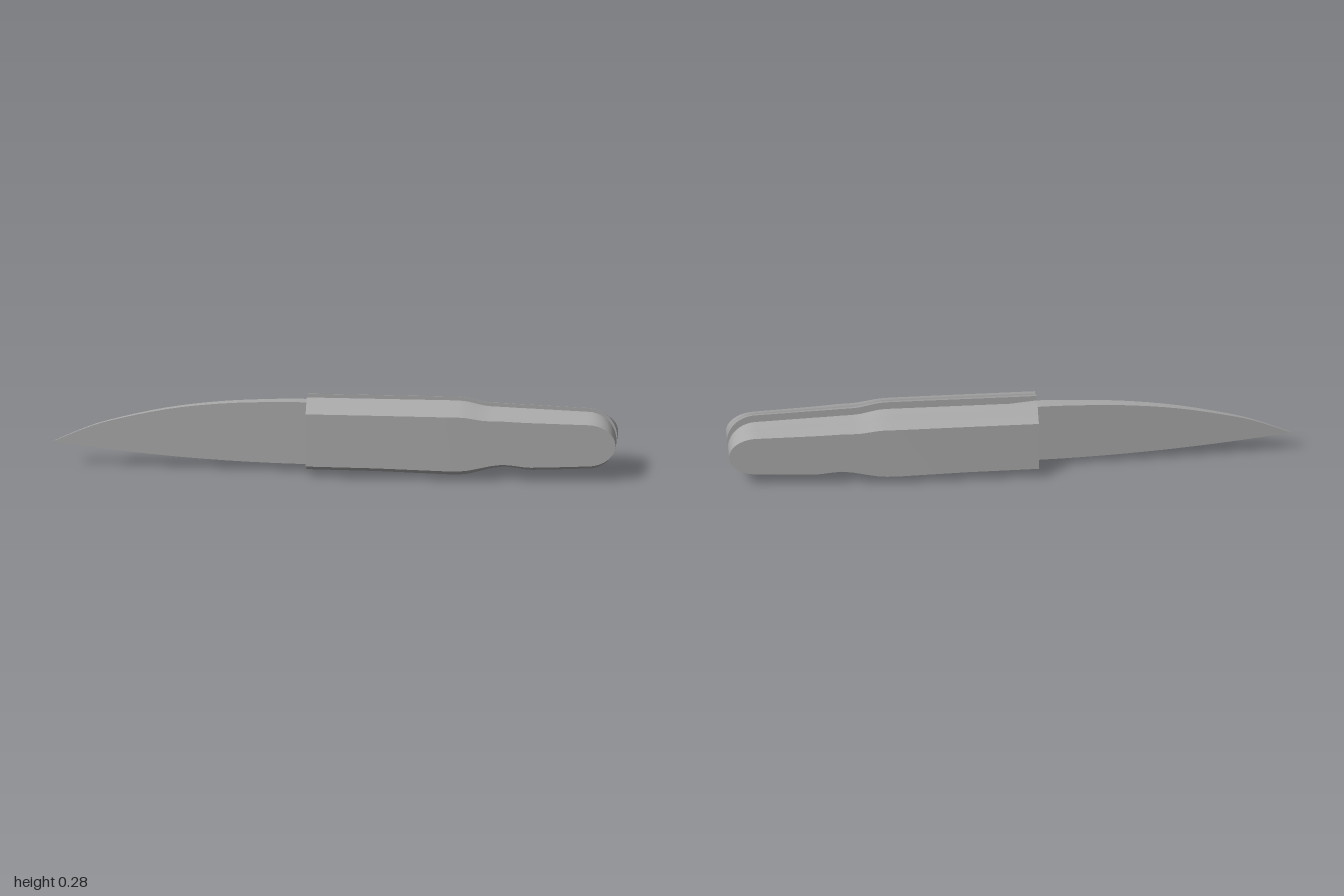
import * as THREE from 'three';
import { toCreasedNormals } from 'three/addons/utils/BufferGeometryUtils.js';

// Solid through cross-sections along +x; each ring is [x, [[y, z], ...]], running from +y towards +z
function loft(rings, crease) {
  const n = rings[0][1].length, pos = [], idx = [];
  for (const [x, pts] of rings) for (const [y, z] of pts) pos.push(x, y, z);
  for (let i = 0; i < rings.length - 1; i++) {
    for (let j = 0; j < n; j++) {
      const k = (j + 1) % n;
      const a = i * n + j, b = i * n + k, c = b + n, d = a + n;
      idx.push(a, b, c, a, c, d);
    }
  }
  // end caps, fanned from the middle of each end ring
  for (const end of [0, rings.length - 1]) {
    const [x, pts] = rings[end], centre = pos.length / 3;
    pos.push(x, pts.reduce((s, p) => s + p[0], 0) / n, pts.reduce((s, p) => s + p[1], 0) / n);
    for (let j = 0; j < n; j++) {
      const a = end * n + j, b = end * n + (j + 1) % n;
      if (end) idx.push(centre, a, b);
      else idx.push(centre, b, a);
    }
  }
  const g = new THREE.BufferGeometry();
  g.setAttribute('position', new THREE.Float32BufferAttribute(pos, 3));
  g.setIndex(idx);
  return toCreasedNormals(g, crease);
}

// Handle outline: x, bottom y, top y
const outline = [
  [-0.1, 0.012, 0.28], [0.15, 0.01, 0.28], [0.4, 0.003, 0.28], [0.44, 0.003, 0.28],
  [0.47, 0.006, 0.277], [0.5, 0.014, 0.27], [0.53, 0.023, 0.263], [0.56, 0.031, 0.26],
  [0.6, 0.037, 0.259], [0.64, 0.033, 0.257], [0.67, 0.028, 0.256], [0.7, 0.026, 0.255],
  [0.8, 0.03, 0.251], [0.9, 0.035, 0.247],
];
// Rounded butt
for (let i = 1; i <= 10; i++) {
  const a = (i / 10) * Math.PI / 2, h = Math.max(0.106 * Math.cos(a), 0.002);
  outline.push([0.9 + 0.1 * Math.sin(a), 0.141 - h, 0.141 + h]);
}

// Bevel profile: depth fraction, height fraction
const bevel = [[0, 1], [0.15, 0.975], [0.31, 0.93], [0.46, 0.87], [0.62, 0.81], [0.8, 0.765], [1, 0.73]];

function handleScale(side) {
  const rings = outline.map(([x, lo, hi]) => {
    const c = (lo + hi) / 2, h = (hi - lo) / 2;
    const outer = 0.1 - 0.02 * Math.max(0, (x - 0.4) / 0.6);
    const point = (sign) => ([t, s]) => [c + sign * h * s, side * (0.02 + (outer - 0.02) * t)];
    const ring = [...bevel.map(point(1)), ...[...bevel].reverse().map(point(-1))];
    return [x, side > 0 ? ring : ring.reverse()];
  });
  return loft(rings, 0.6);
}

// Blade and tang share one helper: stations are x, bottom y, top y, half thickness
const slab = (stations) => loft(stations.map(([x, lo, hi, t]) =>
  [x, [[hi, -t], [hi, t], [lo, t], [lo, -t]]]), 0.5);

export function createModel() {
  const model = new THREE.Group();
  const grey = new THREE.MeshStandardMaterial({ color: 0xa8a8a8 });
  grey.name = 'plain grey';
  const add = (name, geometry) => {
    const mesh = new THREE.Mesh(geometry, grey);
    mesh.name = name;
    model.add(mesh);
  };

  // Curved blade, thinning towards the tip
  const spine = new THREE.SplineCurve([[-1, 0.092], [-0.9, 0.138], [-0.8, 0.174], [-0.6, 0.222],
    [-0.4, 0.249], [-0.2, 0.26], [-0.1, 0.261]].map((p) => new THREE.Vector2(...p)));
  const blade = spine.getPoints(24).map(({ x, y }) => {
    const u = (x + 1) / 0.9;
    return [x, 0.09 - 0.06 * (1 - (1 - u) ** 2), y, 0.002 + 0.018 * u];
  });
  add('blade', slab(blade));

  // Tang narrowing between the two scales
  add('tang', slab([[-0.1, 0.03, 0.261, 0.02], [0.88, 0.13, 0.16, 0.02]]));

  add('leftFacingScale', handleScale(1));
  add('rightFacingScale', handleScale(-1));
  model.children[2].name = 'frontHandleScale';
  model.children[3].name = 'backHandleScale';
  return model;
}
